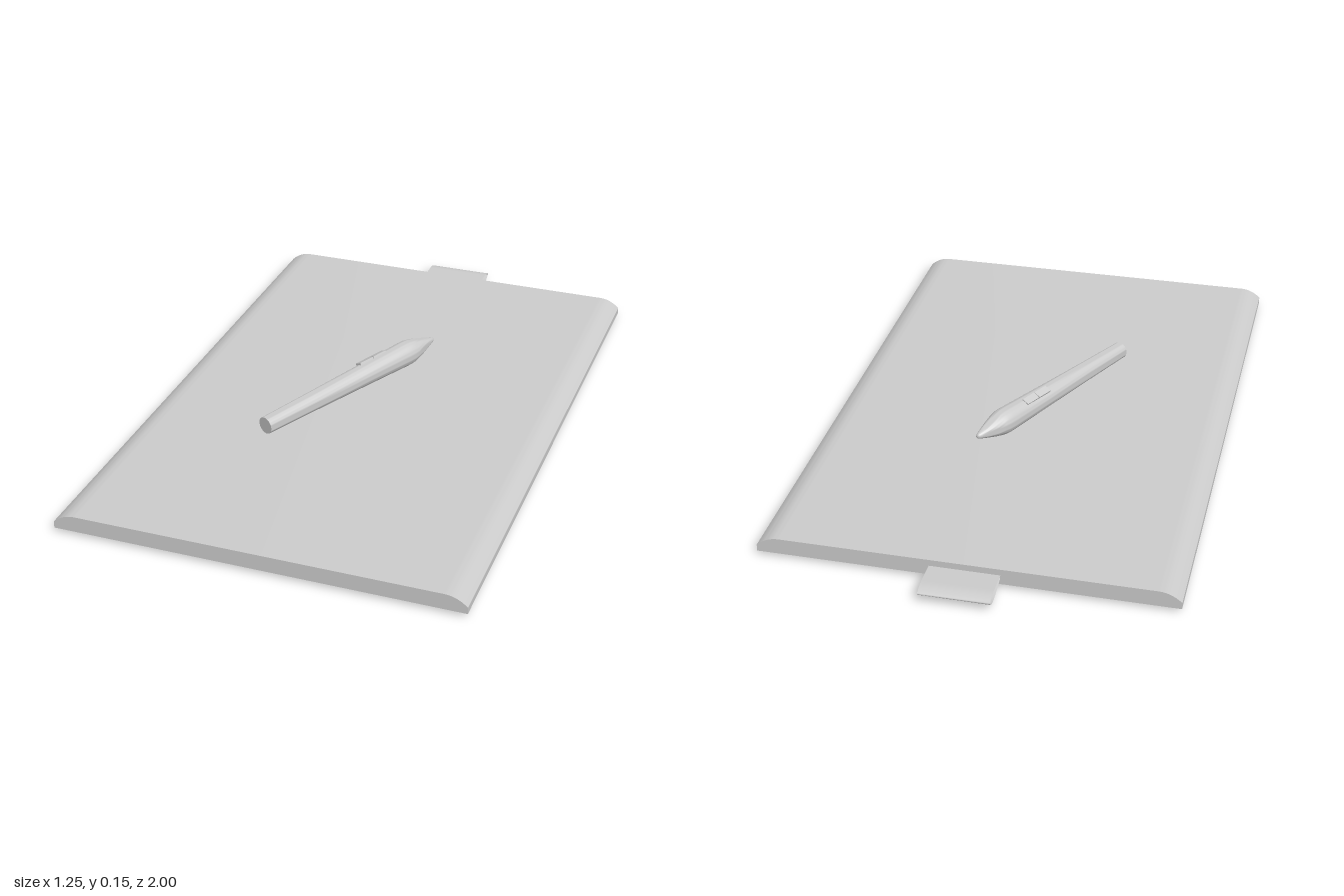
import * as THREE from 'three';
import { toCreasedNormals } from 'three/addons/utils/BufferGeometryUtils.js';

const grey = new THREE.MeshStandardMaterial({ color: 0xcccccc });
const greyThin = new THREE.MeshStandardMaterial({ color: 0xcccccc, side: THREE.DoubleSide });

function part(name, geometry, parent, material = grey) {
  const mesh = new THREE.Mesh(geometry, material);
  mesh.name = name;
  parent.add(mesh);
  return mesh;
}

export function createModel() {
  const model = new THREE.Group();
  model.name = 'drawingTablet';

  // Slab: cross-section with rounded upper long edges, extruded front to back
  const section = new THREE.Shape();
  section.moveTo(-0.623, 0.012);
  section.lineTo(0.623, 0.012);
  section.lineTo(0.623, 0.033);
  section.quadraticCurveTo(0.592, 0.062, 0.555, 0.062);
  section.lineTo(-0.555, 0.062);
  section.quadraticCurveTo(-0.592, 0.062, -0.623, 0.033);
  section.closePath();
  const slab = new THREE.ExtrudeGeometry(section, { depth: 1.88, bevelEnabled: false, curveSegments: 10 });
  slab.translate(0, 0, -0.88);
  part('tabletBody', toCreasedNormals(slab, 0.45), model);

  // Four rubber feet
  for (const x of [-0.528, 0.528]) {
    for (const z of [0.805, -0.675]) {
      part('foot', new THREE.BoxGeometry(0.056, 0.014, 0.21), model).position.set(x, 0.007, z);
    }
  }

  // Fabric pen loop: a thin strip folded back on itself, open at its sides
  const fold = new THREE.CatmullRomCurve3([
    [-0.88, 0.042], [-0.93, 0.043], [-0.975, 0.042], [-1.0, 0.03],
    [-0.985, 0.019], [-0.955, 0.016], [-0.92, 0.024], [-0.88, 0.034],
  ].map(([z, y]) => new THREE.Vector3(0, y, z)));
  const steps = 32;
  const loop = new THREE.PlaneGeometry(0.21, 1, 1, steps);
  const pos = loop.attributes.position;
  for (let i = 0; i < pos.count; i++) {
    const p = fold.getPoint(Math.floor(i / 2) / steps);
    pos.setXYZ(i, -pos.getX(i), p.y, p.z);
  }
  loop.computeVertexNormals();
  part('penLoop', loop, model, greyThin);

  // Pen: lies diagonally, its local z runs from the blunt end to the tip
  const pen = new THREE.Group();
  pen.name = 'pen';
  pen.position.set(-0.213, 0.093, 0.39);
  pen.lookAt(0.112, 0.113, -0.288);
  model.add(pen);

  const outline = [
    [0, 0], [0.0275, 0], [0.031, 0.2], [0.036, 0.42], [0.040, 0.57], [0.0412, 0.61],
    [0.0405, 0.635], [0.037, 0.655], [0.030, 0.682], [0.019, 0.717], [0.009, 0.748], [0.005, 0.754], [0, 0.756],
  ].map(([r, t]) => new THREE.Vector2(r, t));
  const barrel = new THREE.LatheGeometry(outline, 40);
  barrel.rotateX(Math.PI / 2);
  part('penBarrel', toCreasedNormals(barrel, 0.7), pen);

  // Two-way side switch, rolled a little around the barrel
  const sideSwitch = new THREE.Group();
  sideSwitch.name = 'sideSwitch';
  sideSwitch.rotation.z = -0.44;
  pen.add(sideSwitch);
  for (const z of [0.45, 0.509]) {
    part('switchButton', new THREE.BoxGeometry(0.024, 0.016, 0.057), sideSwitch).position.set(0, 0.034, z);
  }

  return model;
}
